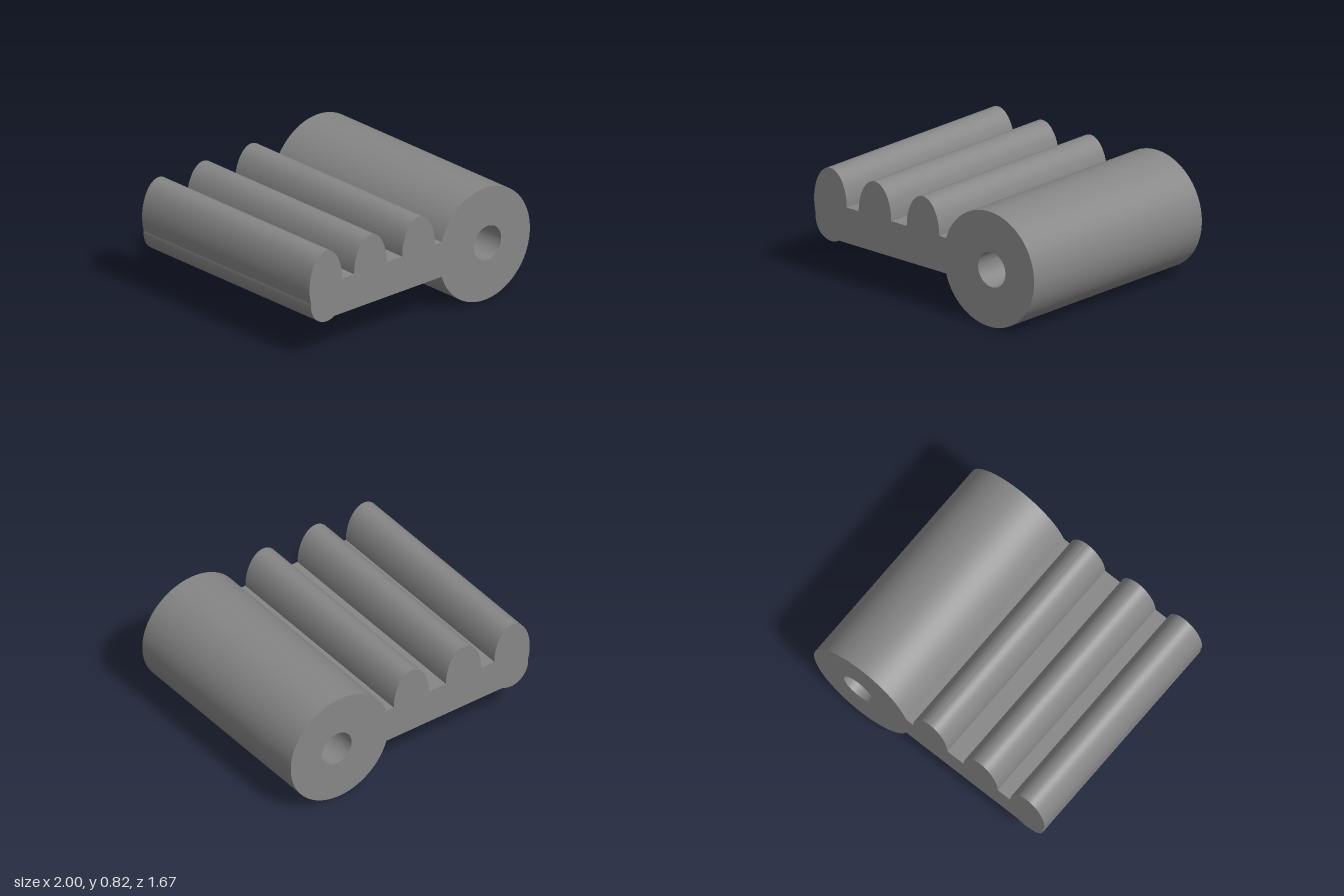
import * as THREE from 'three';
import { toCreasedNormals } from 'three/addons/utils/BufferGeometryUtils.js';

const DEPTH = 1.67;
const PLATE_TOP = 0.537, PLATE_BOTTOM = 0.284;
const BARREL = { x: 0.59, y: 0.41, r: 0.41 };
const RIB = { centers: [-0.01, -0.447, -0.852], rx: 0.148, ry: 0.247 };

// Cross-section of the whole hinge leaf, drawn counterclockwise
function createProfile() {
  const s = new THREE.Shape();

  // round barrel, open on the left where the plate joins
  const upper = Math.asin((PLATE_TOP - BARREL.y) / BARREL.r);
  const lower = Math.asin((BARREL.y - PLATE_BOTTOM) / BARREL.r);
  s.absarc(BARREL.x, BARREL.y, BARREL.r, -Math.PI + lower, Math.PI - upper, false);

  // ribs along the top of the plate; the outer one wraps down over the edge
  RIB.centers.forEach((x, i) => {
    const end = i === RIB.centers.length - 1 ? Math.PI + 0.42 : Math.PI;
    s.absellipse(x, PLATE_TOP, RIB.rx, RIB.ry, 0, end, false);
  });

  // rounded lip under the outer edge, then the flat underside
  s.absellipse(-0.845, 0.415, 0.142, 0.15, Math.PI - 0.13, Math.PI * 2 - 1.06, false);
  s.closePath();

  // pin bore, slightly off the barrel centre
  const bore = new THREE.Path();
  bore.absarc(0.615, 0.41, 0.124, 0, Math.PI * 2, true);
  s.holes.push(bore);
  return s;
}

export function createModel() {
  const group = new THREE.Group();
  group.name = 'ribbedHinge';

  const extruded = new THREE.ExtrudeGeometry(createProfile(), {
    depth: DEPTH, bevelEnabled: false, curveSegments: 48,
  });
  extruded.translate(0, 0, -DEPTH / 2);

  const leaf = new THREE.Mesh(
    toCreasedNormals(extruded, 0.5),
    new THREE.MeshStandardMaterial({ color: 0x868686 })
  );
  leaf.name = 'ribbedLeafWithBarrel';
  group.add(leaf);
  return group;
}
